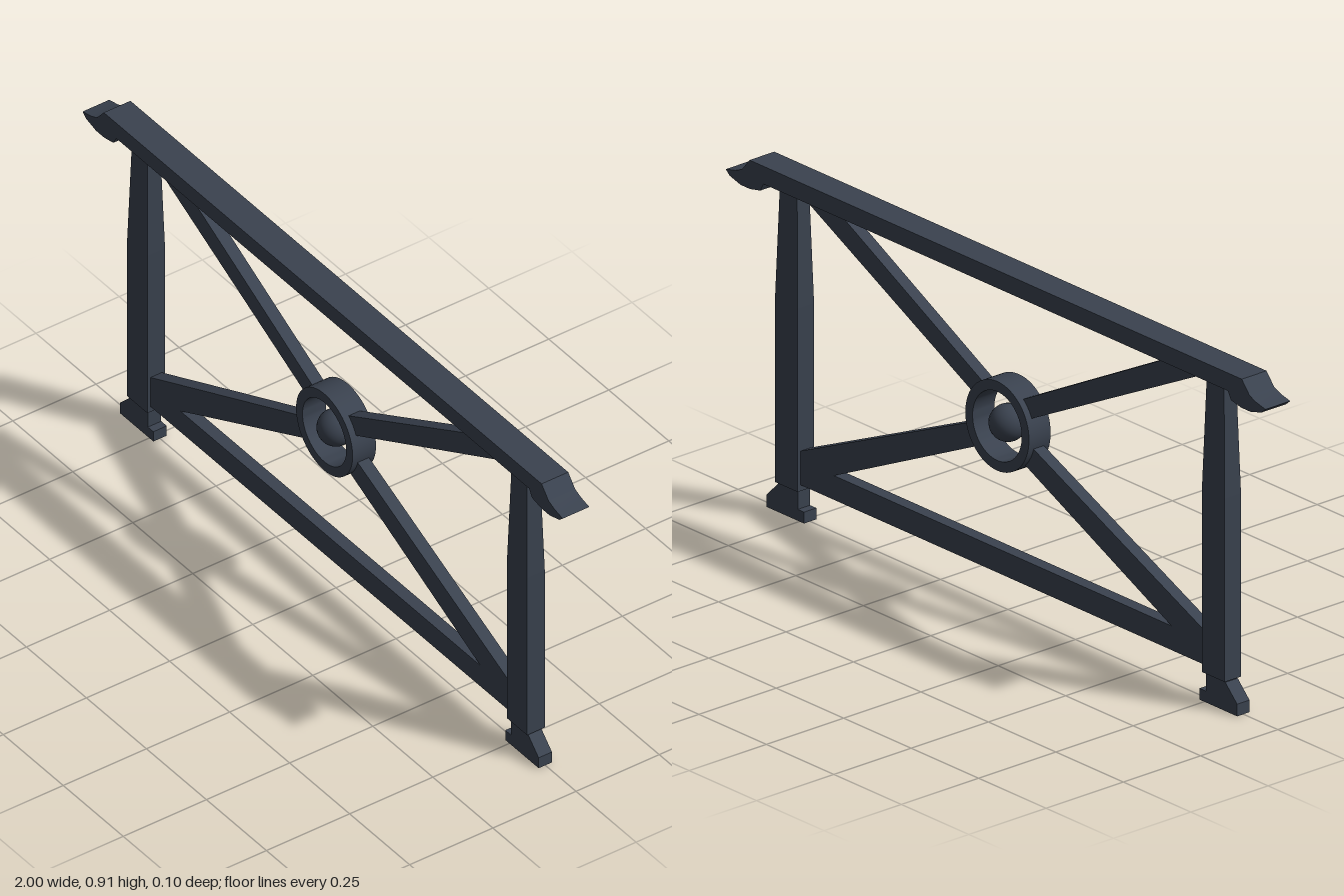
import * as THREE from 'three';
import { toCreasedNormals } from 'three/addons/utils/BufferGeometryUtils.js';

const iron = new THREE.MeshStandardMaterial({ color: 0x3a424f });
iron.name = 'dark iron';

const RING_Y = 0.495;

export function createModel() {
  const model = new THREE.Group();
  model.name = 'railingPanel';

  const add = (name, geometry, y = 0) => {
    const mesh = new THREE.Mesh(geometry, iron);
    mesh.name = name;
    mesh.position.y = y;
    model.add(mesh);
    return mesh;
  };

  // Extrude a front outline to a depth centred on z = 0
  const slab = (shape, depth) => {
    const g = new THREE.ExtrudeGeometry(shape, { depth, bevelEnabled: false, curveSegments: 32 });
    g.translate(0, 0, -depth / 2);
    return toCreasedNormals(g, 0.4);
  };
  const outline = (points, side = 1) =>
    new THREE.Shape(points.map(([x, y]) => new THREE.Vector2(x * side, y)));

  // Handrail with a drooping beak at each end
  const end = [
    [0.86, 0.863], [0.872, 0.842], [0.91, 0.834], [0.945, 0.834], [0.985, 0.845],
    [1, 0.858], [0.965, 0.866], [0.941, 0.876], [0.912, 0.91],
  ];
  const mirrored = end.map(([x, y]) => [-x, y]).reverse();
  add('handrail', slab(outline([...end, ...mirrored]), 0.08));

  // Bottom rail
  add('bottomRail', new THREE.BoxGeometry(1.52, 0.064, 0.034), 0.128);

  // Ring and ball in the middle
  const ring = new THREE.Shape().absarc(0, 0, 0.118, 0, Math.PI * 2);
  ring.holes.push(new THREE.Path().absarc(0, 0, 0.091, 0, Math.PI * 2, true));
  add('centreRing', slab(ring, 0.07), RING_Y);
  add('centreBall', new THREE.SphereGeometry(0.048, 24, 16), RING_Y);

  for (const [side, label] of [[1, 'left'], [-1, 'right']]) {
    // Post, straight below and tapering towards the handrail
    const post = new THREE.BoxGeometry(0.084, 0.79, 0.053, 1, 2, 1);
    const p = post.attributes.position;
    for (let i = 0; i < p.count; i++) {
      const y = p.getY(i);
      if (Math.abs(y) < 0.01) p.setY(i, 0.09);
      if (y > 0.3) {
        p.setX(i, p.getX(i) * 0.76);
        p.setZ(i, p.getZ(i) * 0.73);
      }
    }
    add(label + 'Post', toCreasedNormals(post, 0.02), 0.475).position.x = side * 0.791;

    // Stepped foot with an outer chamfer
    add(label + 'Foot', slab(outline([
      [0.733, 0], [0.872, 0], [0.872, 0.032], [0.828, 0.076], [0.828, 0.09],
      [0.756, 0.09], [0.756, 0.03], [0.733, 0.03],
    ], side), 0.04));

    // Braces running from the ring to the corners
    add(label + 'UpperBrace', slab(outline([
      [0.07, 0.582], [0.104, 0.542], [0.743, 0.862], [0.743, 0.87], [0.625, 0.87],
    ], side), 0.034));
    add(label + 'LowerBrace', slab(outline([
      [0.08, 0.414], [0.107, 0.468], [0.76, 0.181], [0.76, 0.1], [0.625, 0.16],
    ], side), 0.034));
  }

  return model;
}
